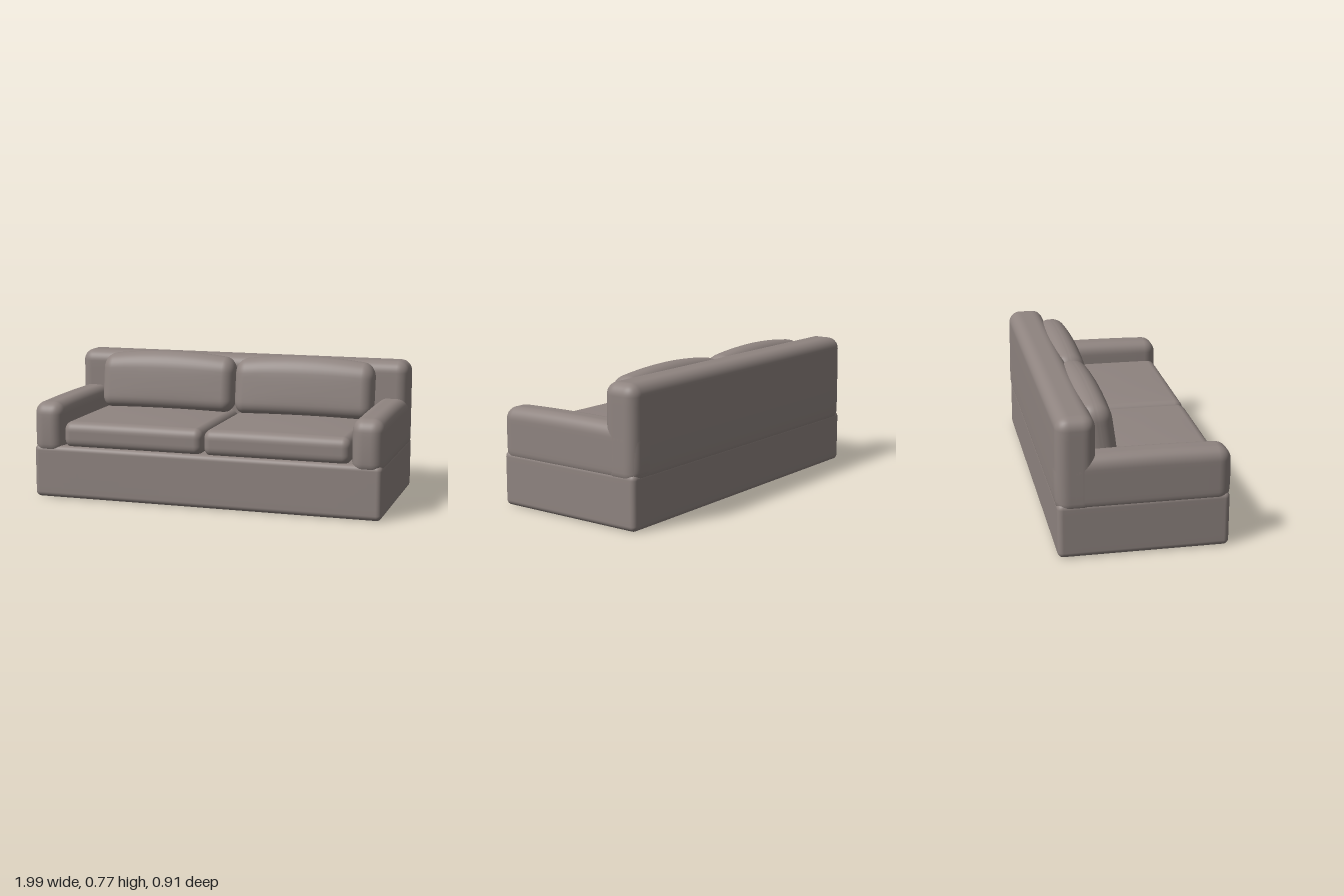
import * as THREE from 'three';
import { mergeVertices } from 'three/addons/utils/BufferGeometryUtils.js';

const ROUND = 5, FLAT = 8, SEG = ROUND * 2 + FLAT;

// Place a grid line: dense in the rounded ends, even in the flat middle
function gridLine(t, half, r) {
  const i = Math.round((t + 0.5) * SEG);
  if (i <= ROUND) return -half + (r * i) / ROUND;
  if (i >= SEG - ROUND) return half - (r * (SEG - i)) / ROUND;
  return (half - r) * (((i - ROUND) / FLAT) * 2 - 1);
}

// Soft upholstered block from min to max corner; bend(p, u) moves points, u in -1..1
function softBlock(min, max, radii, bend) {
  const geo = new THREE.BoxGeometry(1, 1, 1, SEG, SEG, SEG);
  geo.deleteAttribute('uv');
  geo.deleteAttribute('normal');
  const pos = geo.attributes.position;
  const half = max.map((v, k) => (v - min[k]) / 2);
  for (let i = 0; i < pos.count; i++) {
    const raw = [pos.getX(i), pos.getY(i), pos.getZ(i)];
    const p = raw.map((t, k) => gridLine(t, half[k], radii[k]));
    const core = p.map((v, k) => THREE.MathUtils.clamp(v, radii[k] - half[k], half[k] - radii[k]));
    const dir = new THREE.Vector3(...p.map((v, k) => (v - core[k]) / radii[k])).normalize().toArray();
    const q = core.map((v, k) => v + dir[k] * radii[k]);
    const u = q.map((v, k) => v / half[k]);
    const out = new THREE.Vector3(...q.map((v, k) => v + (min[k] + max[k]) / 2));
    if (bend) bend(out, u);
    pos.setXYZ(i, out.x, out.y, out.z);
  }
  const merged = mergeVertices(geo, 1e-5);
  merged.computeVertexNormals();
  return merged;
}

export function createModel() {
  const group = new THREE.Group();
  group.name = 'sofa';
  const fabric = new THREE.MeshStandardMaterial({ color: 0x8f8480 });
  fabric.name = 'taupe fabric';
  const add = (name, geo) => {
    const mesh = new THREE.Mesh(geo, fabric);
    mesh.name = name;
    group.add(mesh);
  };

  // Plinth and backrest
  add('base', softBlock([-0.992, 0, -0.449], [0.992, 0.297, 0.449], [0.03, 0.03, 0.03]));
  add('backrest', softBlock([-0.995, 0.235, -0.452], [0.995, 0.753, -0.247], [0.065, 0.065, 0.065],
    (p, u) => { p.z -= u[2] < 0 ? 0.003 * (1 - u[1] * u[1]) : 0; }));

  for (const s of [-1, 1]) {
    const side = s > 0 ? 'left' : 'right';
    const span = (a, b) => (s > 0 ? [a, b] : [-b, -a]);

    // Armrest, slightly puffed at the ends
    const [a0, a1] = span(0.822, 0.995);
    add(side + 'Armrest', softBlock([a0, 0.24, -0.45], [a1, 0.538, 0.45], [0.06, 0.065, 0.065],
      (p, u) => {
        p.z += 0.007 * u[2] * (1 - u[0] * u[0]) * (1 - u[1] * u[1]);
        if (u[1] > 0) p.y += 0.008 * u[1] * (1 - u[2] * u[2]);
      }));

    // Seat cushion with a crowned top
    const [c0, c1] = span(0.003, 0.818);
    add(side + 'SeatCushion', softBlock([c0, 0.285, -0.34], [c1, 0.434, 0.44], [0.045, 0.05, 0.05],
      (p, u) => {
        if (u[1] > 0) p.y += 0.012 * u[1] * (1 - u[0] * u[0]) * (1 - u[2] * u[2]);
      }));

    // Back cushion: arched top, leaning front, curved back
    add(side + 'BackCushion', softBlock([c0, 0.428, -0.255], [c1, 0.738, -0.095], [0.065, 0.075, 0.07],
      (p, u) => {
        const cx = 1 - u[0] * u[0], up = (u[1] + 1) / 2;
        p.z -= 0.045 * up;
        if (u[2] < 0) p.z += 0.03 * u[2] * cx * (1 - up * 0.6);
        else p.z += 0.012 * u[2] * cx * (1 - u[1] * u[1]);
        if (u[1] > 0) p.y += 0.031 * u[1] * cx;
      }));
  }
  return group;
}
